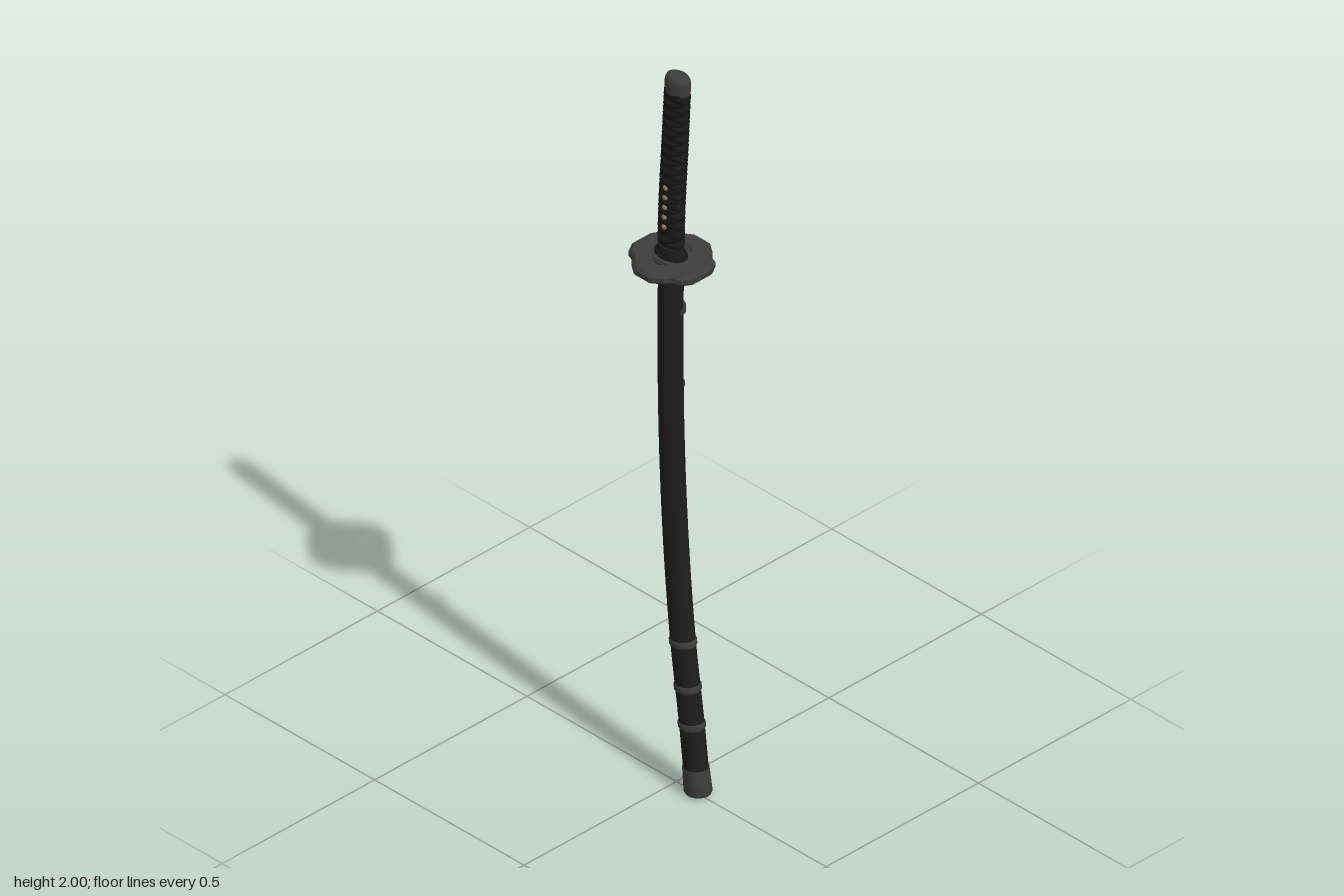
import * as THREE from 'three';

const mat = (name, color) => {
  const m = new THREE.MeshStandardMaterial({ color });
  m.name = name;
  return m;
};

// Curved centreline: x offsets at every 0.2 of height, from y = -0.2 to 2.2
const xs = [0.105, 0.074, 0.05, 0.023, 0.004, -0.009, -0.017, -0.02, -0.019, -0.016, -0.005, 0.006, 0.02];
const spine = new THREE.SplineCurve(xs.map((x, i) => new THREE.Vector2(x, i * 0.2 - 0.2)));
const spineX = (y) => spine.getPoint((y + 0.2) / 2.4).x;

// Point on an ellipse set square to the centreline at height y
function around(y, rx, rz, a) {
  const slope = (spineX(y + 0.01) - spineX(y - 0.01)) / 0.02;
  const k = rx * Math.cos(a) / Math.hypot(1, slope);
  return new THREE.Vector3(spineX(y) + k, y - k * slope, rz * Math.sin(a));
}

// Closed loft through rows of [y, rx, rz], with sharp flat ends
function loft(rows, sides = 20) {
  const first = rows[0], last = rows[rows.length - 1];
  const all = [[first[0], 0, 0], first, ...rows, last, [last[0], 0, 0]];
  const pos = [], idx = [];
  all.forEach(([y, rx, rz], i) => {
    for (let j = 0; j < sides; j++) {
      pos.push(...around(y, rx, rz, j / sides * Math.PI * 2).toArray());
      if (i === all.length - 1) continue;
      const a = i * sides + j, b = i * sides + (j + 1) % sides;
      idx.push(a, a + sides, b + sides, a, b + sides, b);
    }
  });
  const g = new THREE.BufferGeometry();
  g.setAttribute('position', new THREE.Float32BufferAttribute(pos, 3));
  g.setIndex(idx);
  g.computeVertexNormals();
  return g;
}

// Evenly spaced rows of one size
const rowsOf = (y0, y1, n, rx, rz) =>
  Array.from({ length: n + 1 }, (_, i) => [y0 + (y1 - y0) * i / n, rx, rz]);

export function createModel() {
  const lacquer = mat('black lacquer', 0x1d1d1d);
  const cord = mat('black cord', 0x151515);
  const steel = mat('dark steel', 0x3c3c3c);
  const brass = mat('brass', 0x9a7a50);

  const model = new THREE.Group();
  const add = (name, geo, m, parent = model) => {
    const mesh = new THREE.Mesh(geo, m);
    mesh.name = name;
    parent.add(mesh);
    return mesh;
  };

  // Scabbard with its end cap and bands
  add('scabbard', loft(rowsOf(0.05, 1.46, 30, 0.033, 0.028)), lacquer);
  add('scabbardEndCap', loft([[0.005, 0.033, 0.028], [0.012, 0.037, 0.032], [0.045, 0.036, 0.031], [0.075, 0.035, 0.03]]), steel);
  for (const y of [0.19, 0.29, 0.41]) {
    add('scabbardBand', loft([[y - 0.009, 0.0335, 0.0285], [y - 0.005, 0.036, 0.031], [y + 0.005, 0.036, 0.031], [y + 0.009, 0.0335, 0.0285]]), steel);
  }

  // Fittings on the back face of the scabbard
  add('backBand', loft(rowsOf(1.322, 1.338, 1, 0.034, 0.029)), steel).position.z = -0.007;
  const knob = new THREE.TorusGeometry(0.012, 0.006, 8, 14);
  knob.rotateY(Math.PI / 2).translate(spineX(1.1), 1.1, -0.027);
  add('cordKnob', knob, steel);

  // Four-lobed guard with two slots and a central opening
  const quarter = [[0.104, 0.028], [0.088, 0.055], [0.064, 0.064], [0.053, 0.08], [0.023, 0.101]];
  const outline = [
    ...quarter,
    ...quarter.map(([x, y]) => [-x, y]).reverse(),
    ...quarter.map(([x, y]) => [-x, -y]),
    ...quarter.map(([x, y]) => [x, -y]).reverse(),
  ].map((p) => new THREE.Vector2(...p));
  const guardShape = new THREE.Shape(outline);
  for (const s of [1, -1]) {
    guardShape.holes.push(new THREE.Path(
      [[-0.024, 0.041], [0.024, 0.041], [0.01, 0.053], [-0.01, 0.053]].map(([x, y]) => new THREE.Vector2(x, y * s))));
  }
  const guardGeo = new THREE.ExtrudeGeometry(guardShape, {
    depth: 0.012, bevelThickness: 0.008, bevelSize: 0.008, bevelOffset: -0.004, bevelSegments: 1,
  });
  guardGeo.scale(0.97, 0.97, 1).rotateX(-Math.PI / 2).translate(-0.015, 1.464, 0);
  add('guard', guardGeo, steel);
  add('guardWasher', loft(rowsOf(1.452, 1.488, 1, 0.047, 0.032)), cord);

  // Grip core, collar and pommel
  add('gripCore', loft(rowsOf(1.48, 1.97, 14, 0.031, 0.022)), lacquer);
  add('gripCollar', loft(rowsOf(1.485, 1.512, 2, 0.036, 0.027)), lacquer);
  add('pommel', loft([[1.955, 0.035, 0.0265], [1.985, 0.035, 0.0265], [1.995, 0.031, 0.023], [1.998, 0.022, 0.016]]), steel);

  // Cord wrap: two pairs of opposed spirals crossing on the flat faces
  const wrap = new THREE.Group();
  wrap.name = 'gripWrap';
  model.add(wrap);
  const y0 = 1.515, y1 = 1.957, pitch = 0.056, steps = 160;
  for (const dir of [1, -1]) {
    for (const phase of [0, Math.PI]) {
      const pts = Array.from({ length: steps + 1 }, (_, i) => {
        const y = y0 + (y1 - y0) * i / steps;
        const a = phase + dir * (y - y0) / pitch * Math.PI * 2;
        return around(y, 0.0295, 0.0225, a);
      });
      add('wrapCord', new THREE.TubeGeometry(new THREE.CatmullRomCurve3(pts), 200, 0.0065, 6), cord, wrap);
    }
  }

  // Brass studs showing through the gaps on both faces
  for (let k = 2; k <= 6; k++) {
    const y = y0 + k * pitch / 2;
    for (const s of [1, -1]) {
      const stud = new THREE.SphereGeometry(0.008, 10, 8);
      stud.scale(0.9, 0.9, 0.6).translate(spineX(y), y, s * 0.0245);
      add('brassStud', stud, brass);
    }
  }
  return model;
}
